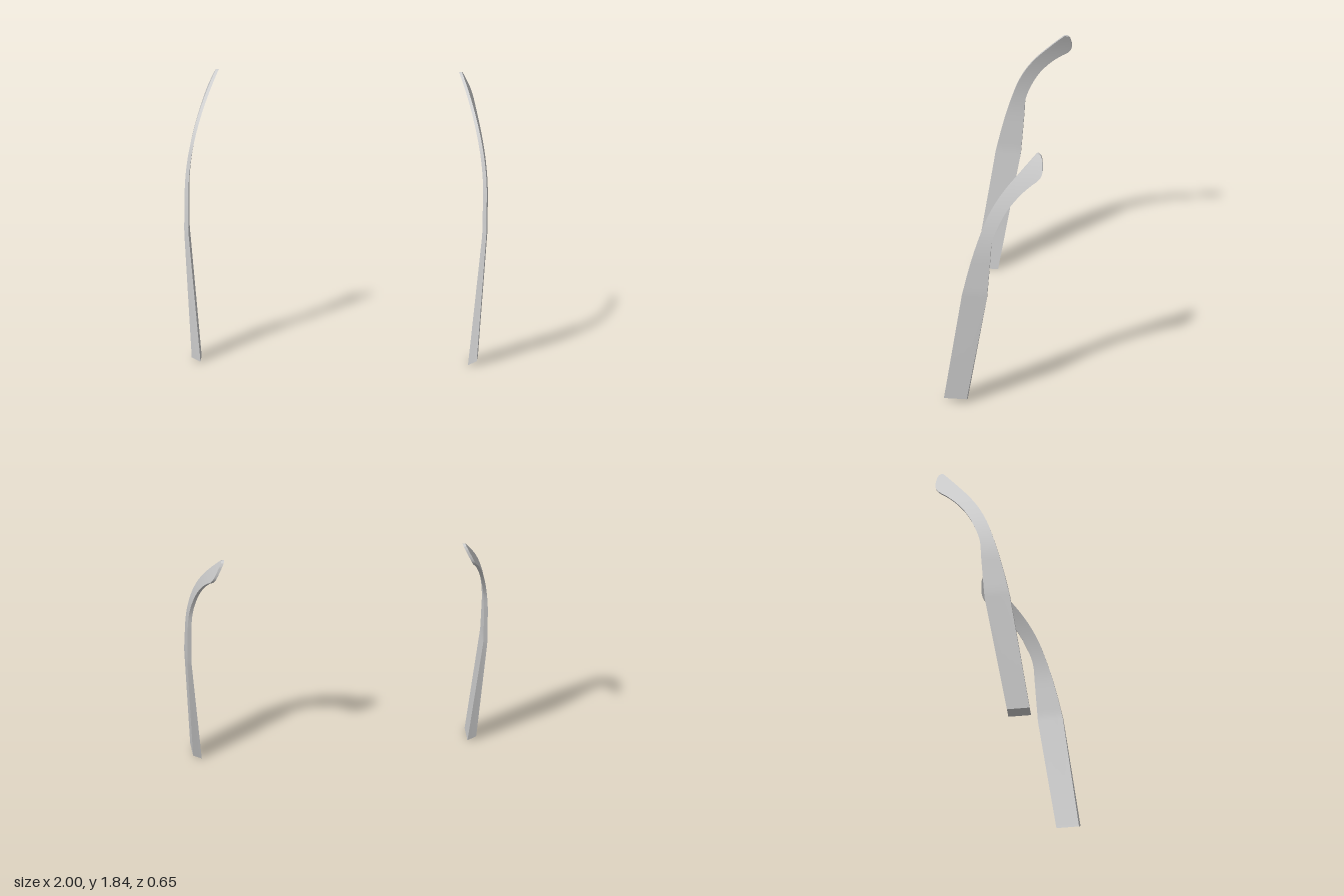
import * as THREE from 'three';
import { toCreasedNormals } from 'three/addons/utils/BufferGeometryUtils.js';

// Side outline as matching points: front edge (z, y), back edge (z, y)
const OUTLINE = [
  [0.2, 0.84, 0.033, 0.83],
  [0.164, 1.0, 0.02, 1.0],
  [0.125, 1.15, 0.01, 1.13],
  [0.085, 1.28, 0.0, 1.25],
  [0.044, 1.395, -0.04, 1.365],
  [-0.015, 1.512, -0.1, 1.48],
  [-0.085, 1.615, -0.18, 1.58],
  [-0.16, 1.705, -0.245, 1.64],
  [-0.22, 1.775, -0.298, 1.682],
  [-0.26, 1.82, -0.318, 1.715],
  [-0.283, 1.842, -0.322, 1.755],
  [-0.305, 1.832, -0.315, 1.81],
];
const ACROSS = 4; // strips across the width

// Distance of the outer face from the middle: straight splay, then an inward curve
function outerX(y) {
  if (y < 0.86) return 0.943 + 0.057 * (y / 0.86);
  return 1 - 0.338 * Math.max(0, y - 1.1) ** 2;
}

function thickness(y) {
  return y < 0.86 ? 0.058 - 0.031 * (y / 0.86) : 0.027 - 0.008 * (y - 0.86);
}

function templeGeometry(side) {
  const edge = (i) => new THREE.CatmullRomCurve3(
    OUTLINE.map((p) => new THREE.Vector3(0, p[i + 1], p[i])), false, 'centripetal');
  const front = edge(0), back = edge(2);
  const steps = (OUTLINE.length - 1) * 4;
  const sections = [[new THREE.Vector3(0, 0, 0.325), new THREE.Vector3(0, 0, 0.173)]];
  for (let i = 0; i <= steps; i++) sections.push([front.getPoint(i / steps), back.getPoint(i / steps)]);

  // Each ring runs along the outer face front to back, then the inner face back to front
  const ringSize = 2 * (ACROSS + 1);
  const positions = [], index = [];
  sections.forEach(([f, b], s) => {
    for (let k = 0; k < ringSize; k++) {
      const outer = k <= ACROSS;
      const p = f.clone().lerp(b, (outer ? k : ringSize - 1 - k) / ACROSS);
      const x = outerX(p.y) - (outer ? 0 : thickness(p.y));
      const lift = s === 0 && outer ? 0.028 : 0; // slanted hinge end
      positions.push(side * x, p.y + lift, p.z);
    }
  });

  const tri = (a, b, c) => (side > 0 ? index.push(a, b, c) : index.push(a, c, b));
  for (let s = 0; s < sections.length - 1; s++) {
    for (let k = 0; k < ringSize; k++) {
      const a = s * ringSize + k, b = s * ringSize + (k + 1) % ringSize;
      tri(a, b, b + ringSize);
      tri(a, b + ringSize, a + ringSize);
    }
  }
  // End caps
  const last = (sections.length - 1) * ringSize;
  for (let k = 0; k < ACROSS; k++) {
    const m = ringSize - 1 - k;
    tri(k, m, m - 1);
    tri(k, m - 1, k + 1);
    tri(last + k, last + m - 1, last + m);
    tri(last + k, last + k + 1, last + m - 1);
  }

  const geometry = new THREE.BufferGeometry();
  geometry.setAttribute('position', new THREE.Float32BufferAttribute(positions, 3));
  geometry.setIndex(index);
  return toCreasedNormals(geometry, 0.6);
}

export function createModel() {
  const group = new THREE.Group();
  group.name = 'glassesTemples';
  const material = new THREE.MeshStandardMaterial({ color: 0xcccccc });
  for (const [name, side] of [['leftTemple', 1], ['rightTemple', -1]]) {
    const temple = new THREE.Mesh(templeGeometry(side), material);
    temple.name = name;
    group.add(temple);
  }
  return group;
}
